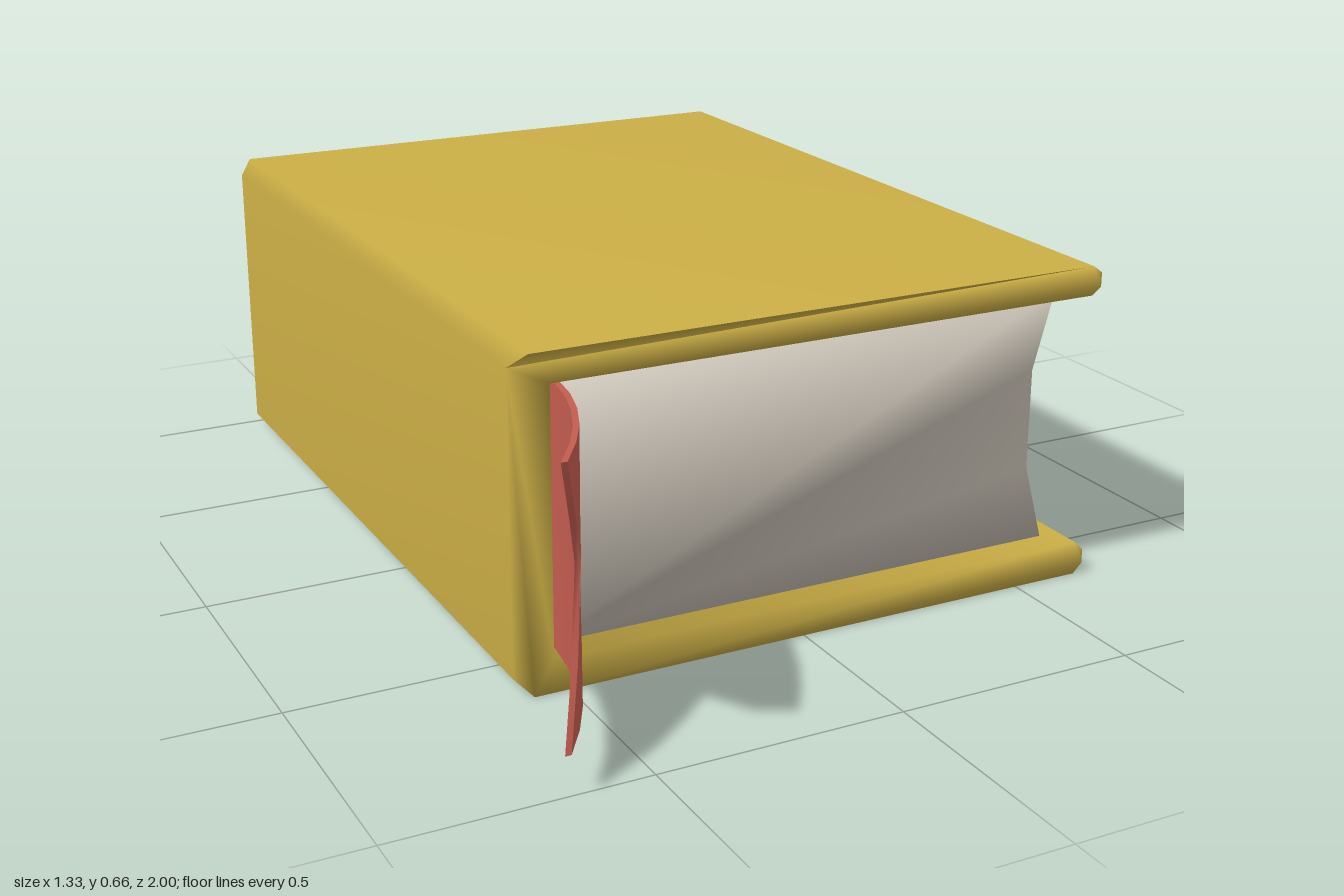
import * as THREE from 'three';
import { mergeVertices } from 'three/addons/utils/BufferGeometryUtils.js';

// Extrudes an x-y profile from z0 to z1 with shared vertices, so shading runs softly over the edges
function softPrism(points, z0, z1, move = () => {}) {
  const shape = new THREE.Shape(points.map(([x, y]) => new THREE.Vector2(x, y)));
  let geo = new THREE.ExtrudeGeometry(shape, { depth: z1 - z0, bevelEnabled: false });
  geo.translate(0, 0, z0);
  geo.deleteAttribute('normal');
  geo.deleteAttribute('uv');
  geo = mergeVertices(geo, 1e-4);
  const p = geo.attributes.position;
  const v = new THREE.Vector3();
  for (let i = 0; i < p.count; i++) {
    v.fromBufferAttribute(p, i);
    move(v);
    p.setXYZ(i, v.x, v.y, v.z);
  }
  geo.computeVertexNormals();
  return geo;
}

export function createModel() {
  const book = new THREE.Group();
  book.name = 'book';
  const add = (name, geo, color) => {
    const mesh = new THREE.Mesh(geo, new THREE.MeshStandardMaterial({ color }));
    mesh.name = name;
    book.add(mesh);
  };

  // Cover: two boards joined by the spine, a C profile with chamfered corners
  const front = -1, end = 0.65, chamfer = 0.03;
  const cover = [
    [-0.57, 0], [0.645, 0], [0.665, 0.02], [0.665, 0.05], [0.645, 0.07], [-0.53, 0.07],
    [-0.53, 0.6], [0.645, 0.6], [0.665, 0.615], [0.665, 0.645], [0.645, 0.66], [-0.57, 0.66],
    [-0.6, 0.63], [-0.6, 0.03],
  ];
  add('cover', softPrism(cover, front, end, (v) => {
    // the outer face of the spine is drawn in at both ends
    if (v.x < -0.59) v.z += v.z < 0 ? chamfer : -chamfer;
  }), 0xcbae46);

  // Page block with a hollow fore-edge
  const pages = [
    [-0.535, 0.068], [0.6, 0.068], [0.555, 0.23], [0.555, 0.44], [0.6, 0.602], [-0.535, 0.602],
  ];
  add('pages', softPrism(pages, -0.935, 0.59), 0xcac2b6);

  // Ribbon bookmark: curls toward the spine and ends in a swallowtail
  const ribbon = new THREE.BoxGeometry(1, 1, 1, 6, 4, 1);
  const tailEnds = [1, 0.94, 0.83, 0.94, 1];
  const p = ribbon.attributes.position;
  for (let i = 0; i < p.count; i++) {
    const along = p.getX(i) + 0.5;
    const row = Math.round((p.getY(i) + 0.5) * 4);
    const z = THREE.MathUtils.lerp(0.56, tailEnds[row], along);
    const x = -0.511 - 0.9 * Math.max(0, z - 0.59) ** 2;
    p.setXYZ(i, x - p.getZ(i) * 0.012, 0.077 + row * 0.1303, z);
  }
  ribbon.computeVertexNormals();
  add('ribbon', ribbon, 0xc45c50);

  return book;
}
